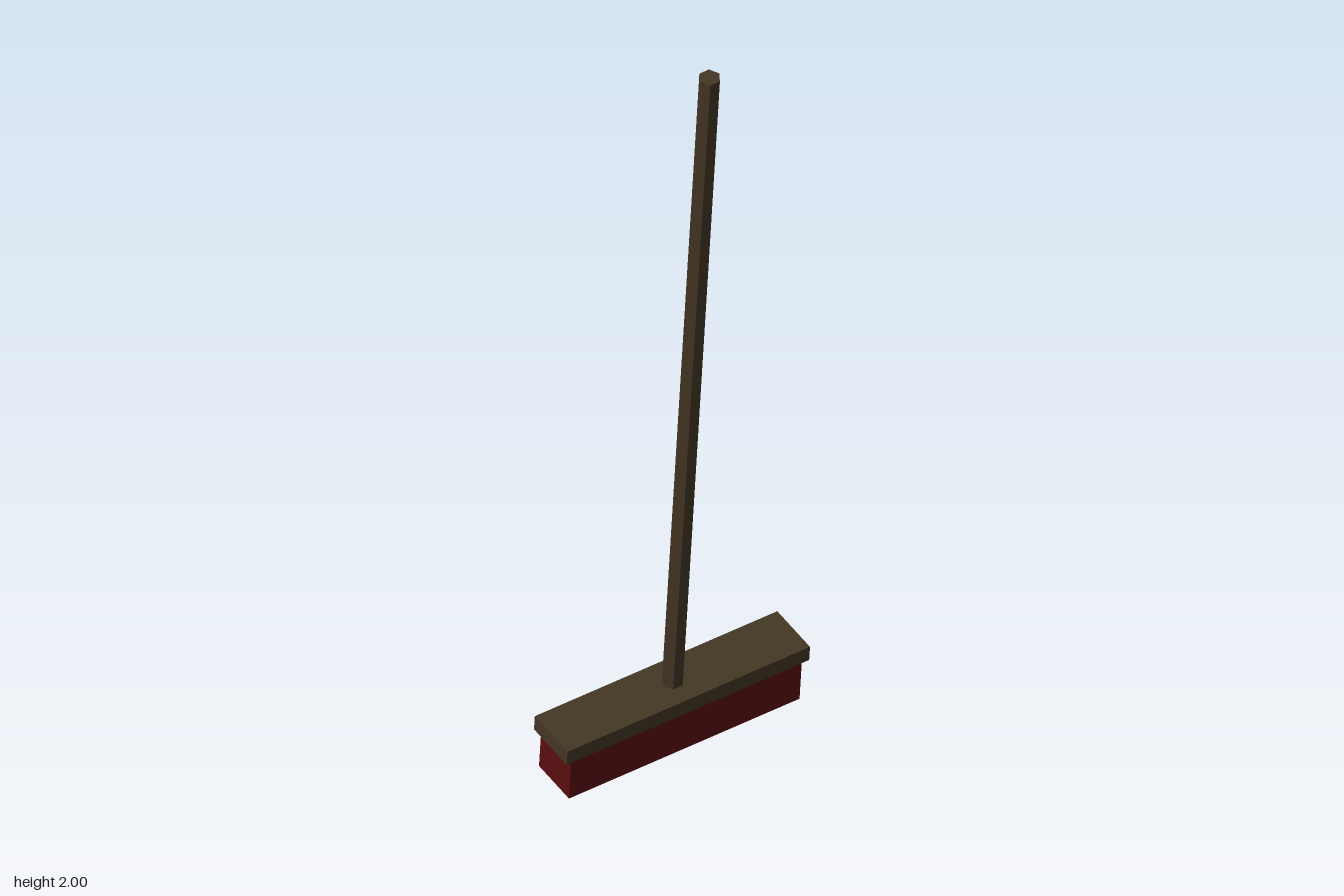
import * as THREE from 'three';

const mat = (name, color, extra = {}) => Object.assign(
  new THREE.MeshStandardMaterial({ color, flatShading: true, ...extra }), { name });

export function createModel() {
  const wood = mat('dark wood', 0x433624);
  const red = mat('dark red bristle', 0x5c0d10);
  const pale = mat('pale lilac', 0xdacbdd, { side: THREE.DoubleSide });

  const model = new THREE.Group();
  model.name = 'pushBroom';

  // Leaning, twisted frame with its origin at the centre of the head's top
  const broom = new THREE.Group();
  broom.name = 'broom';
  broom.position.set(0, 0.172, -0.061);
  broom.rotation.set(0.137, 0.26, 0, 'XYZ');
  model.add(broom);

  const add = (name, geometry, material, x, y, z) => {
    const mesh = new THREE.Mesh(geometry, material);
    mesh.name = name;
    mesh.position.set(x, y, z);
    broom.add(mesh);
    return mesh;
  };

  // Six-sided handle
  const length = 1.843;
  add('handle', new THREE.CylinderGeometry(0.025, 0.025, length + 0.02, 6, 1, false, Math.PI / 2),
    wood, 0, length / 2 - 0.01, 0);

  // Wooden head and bristle block
  const plate = 0.04, depth = 0.155, halfLength = 0.301, halfWidth = 0.059;
  add('headBoard', new THREE.BoxGeometry(0.633, plate, 0.129), wood, 0, -plate / 2, 0);
  const bristle = depth - plate;
  const bristleY = -plate - bristle / 2;
  add('bristles', new THREE.BoxGeometry(halfLength * 2, bristle, halfWidth * 2), red, 0, bristleY, 0);

  // Flat painted patches
  const patch = (points) => new THREE.ShapeGeometry(
    new THREE.Shape(points.map(([x, y]) => new THREE.Vector2(x, y))));

  // Worn patch on the left end
  add('endPatch', patch([
    [-0.038, 0.021], [-0.01, 0.025], [0.005, 0.015], [0.026, 0.007], [0.054, -0.023],
    [0.027, -0.03], [0.035, -0.042], [-0.01, -0.051], [-0.041, -0.037],
  ]), pale, halfLength + 0.0015, bristleY, 0).rotation.y = Math.PI / 2;

  // Worn strip along the front edge of the underside
  add('undersidePatch', patch([
    [0.16, -0.058], [-0.29, -0.058], [-0.28, -0.045], [-0.18, -0.042],
    [-0.09, -0.046], [0.02, -0.041], [0.1, -0.046],
  ]), pale, 0, -depth - 0.0015, 0).rotation.x = -Math.PI / 2;

  return model;
}
